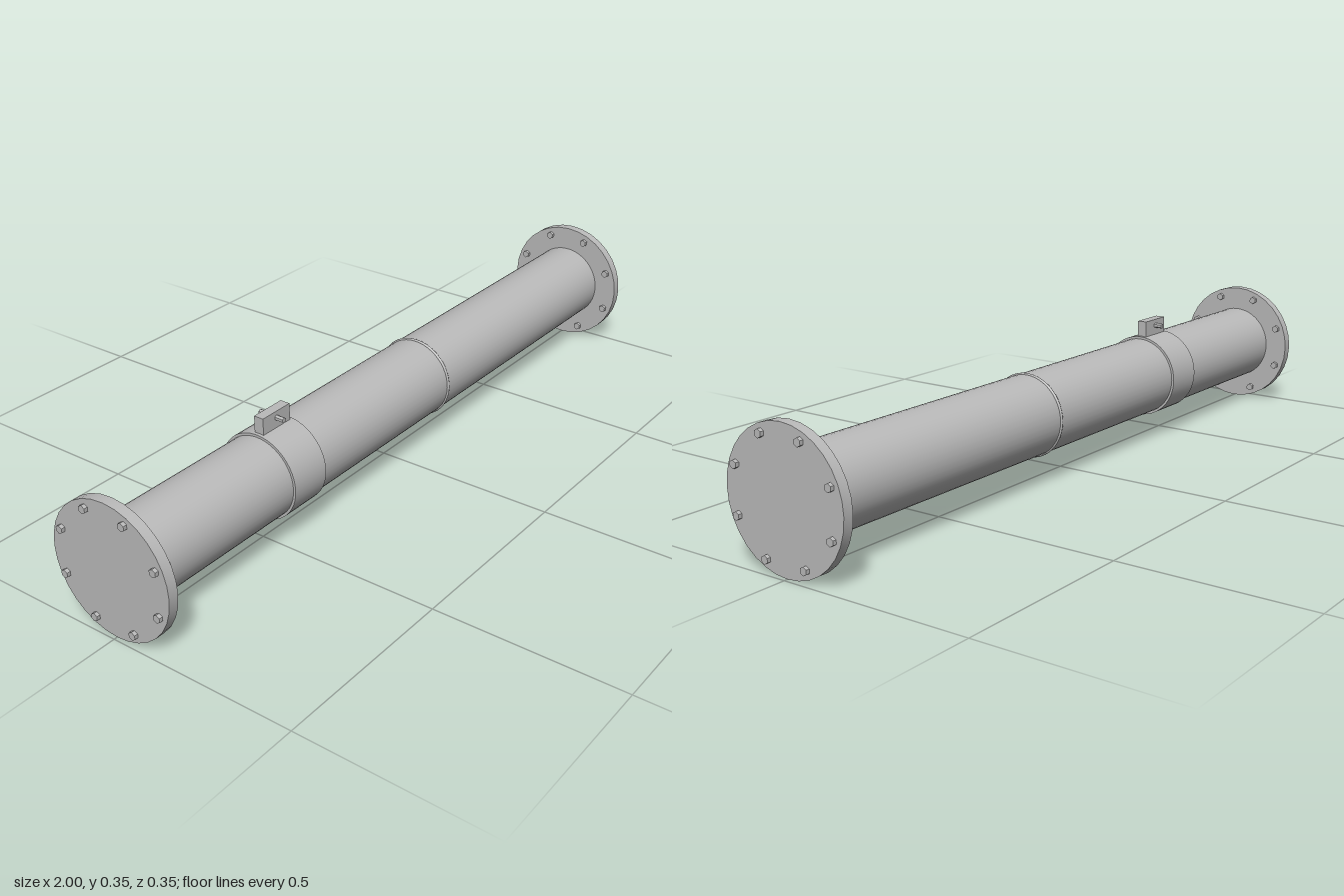
import * as THREE from 'three';
import { toCreasedNormals } from 'three/addons/utils/BufferGeometryUtils.js';

const AXIS_Y = 0.173;

export function createModel() {
  const model = new THREE.Group();
  model.name = 'flangedPipe';
  const steel = new THREE.MeshStandardMaterial({ color: 0xbababa });
  steel.name = 'grey steel';

  function add(name, geometry, x, y, z, parent = model) {
    const mesh = new THREE.Mesh(geometry, steel);
    mesh.name = name;
    mesh.position.set(x, y, z);
    parent.add(mesh);
    return mesh;
  }

  // Cylinder along x, with a corner at the top
  function rod(radius, length, sides) {
    const g = new THREE.CylinderGeometry(radius, radius, length, sides, 1, false, Math.PI / 2);
    g.rotateZ(Math.PI / 2);
    return toCreasedNormals(g, 0.6);
  }

  // Main tube and the clamp collar around it
  add('pipe', rod(0.107, 1.94, 48), 0, AXIS_Y, 0);
  add('collar', rod(0.1135, 0.115, 48), -0.448, AXIS_Y, 0);

  // Weld bead joining the two tube lengths
  const bead = new THREE.TorusGeometry(0.107, 0.004, 8, 48);
  bead.rotateY(Math.PI / 2);
  add('weldBead', bead, 0.145, AXIS_Y, 0);

  // Clamp lug with its cross bolt
  add('clampLug', new THREE.BoxGeometry(0.097, 0.05, 0.027), -0.448, 0.304, 0);
  const pin = rod(0.007, 0.074, 6);
  pin.rotateY(Math.PI / 2);
  add('clampBolt', pin, -0.448, 0.312, 0);

  // Blind flanges with a ring of eight hex bolts
  for (const side of [-1, 1]) {
    const end = new THREE.Group();
    end.name = side > 0 ? 'leftFlange' : 'rightFlange';
    end.position.set(side * 0.977, AXIS_Y, 0);
    model.add(end);
    add('flangeDisc', rod(0.173, 0.027, 32), 0, 0, 0, end);
    for (let i = 0; i < 8; i++) {
      const a = (i + 0.5) * Math.PI / 4;
      add('flangeBolt', rod(0.0105, 0.046, 6), 0, Math.sin(a) * 0.151, Math.cos(a) * 0.151, end);
    }
  }
  return model;
}
